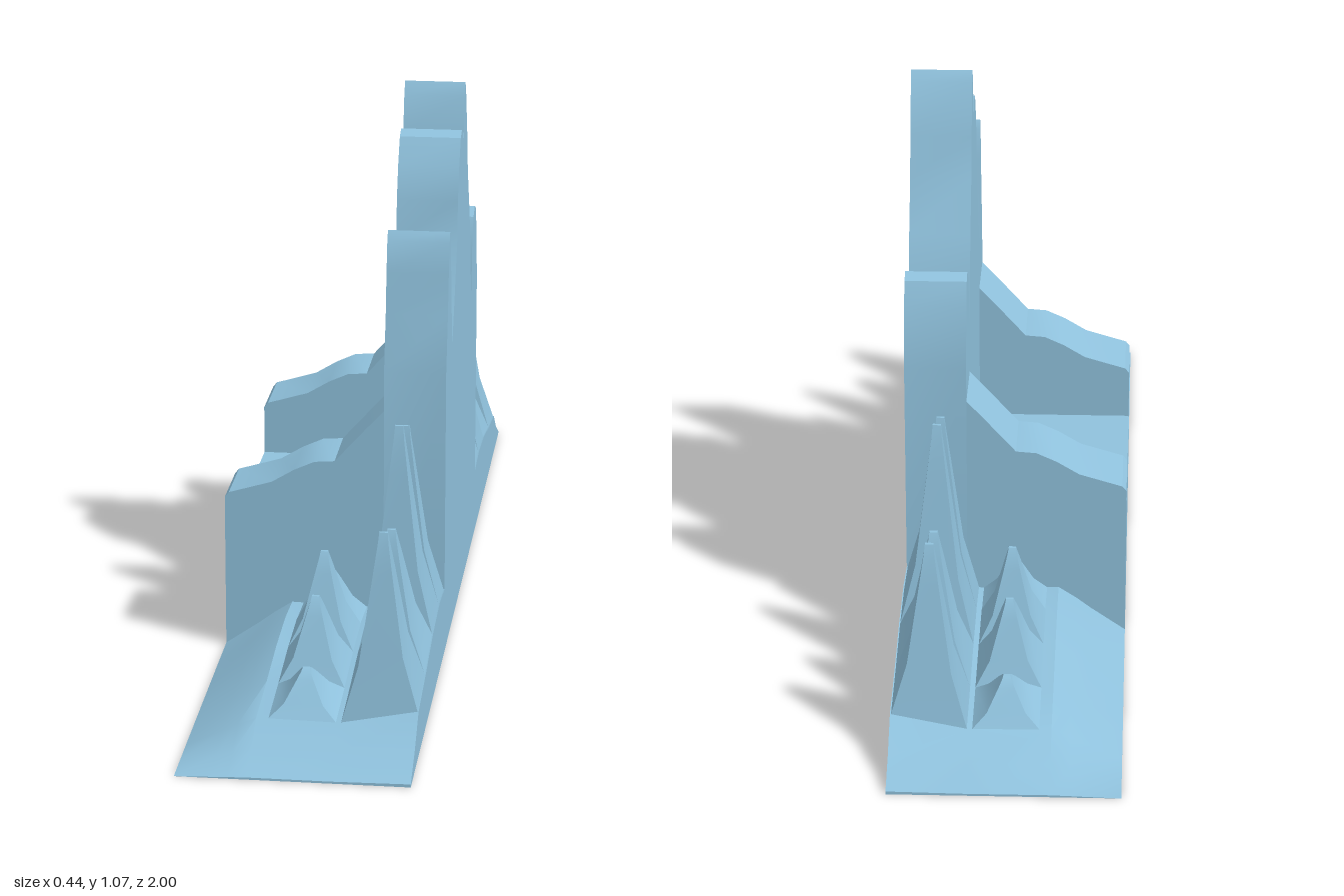
import * as THREE from 'three';
import { toCreasedNormals } from 'three/addons/utils/BufferGeometryUtils.js';

const X = 0.218; // half depth of the whole piece
const material = new THREE.MeshStandardMaterial({ color: 0x8fc1dc });

function addMesh(group, name, geometry) {
  const mesh = new THREE.Mesh(geometry, material);
  mesh.name = name;
  group.add(mesh);
  return mesh;
}

// Skins a list of equal-length rings and closes the ends
function loft(rings, capStart = true) {
  const out = [];
  const tri = (a, b, c) => out.push(...a, ...b, ...c);
  const n = rings[0].length;
  for (let i = 0; i < rings.length - 1; i++) {
    for (let j = 0; j < n; j++) {
      const k = (j + 1) % n;
      const [a, b, c, d] = [rings[i][j], rings[i][k], rings[i + 1][k], rings[i + 1][j]];
      tri(a, b, c);
      tri(a, c, d);
    }
  }
  const first = rings[0], last = rings[rings.length - 1];
  for (let j = 1; j < n - 1; j++) {
    if (capStart) tri(first[0], first[j + 1], first[j]);
    tri(last[0], last[j], last[j + 1]);
  }
  const g = new THREE.BufferGeometry();
  g.setAttribute('position', new THREE.Float32BufferAttribute(out, 3));
  return toCreasedNormals(g, 0.45);
}

function extrude(points, depth) {
  const shape = new THREE.Shape(points.map(([x, y]) => new THREE.Vector2(x, y)));
  const g = new THREE.ExtrudeGeometry(shape, { depth, bevelEnabled: false });
  return toCreasedNormals(g, 0.5);
}

// Linear interpolation through [position, value] pairs
function sample(table, p) {
  for (let i = 1; i < table.length; i++) {
    const [a, va] = table[i - 1], [b, vb] = table[i];
    if (p <= b) return va + (vb - va) * Math.max(0, (p - a) / (b - a));
  }
  return table[table.length - 1][1];
}

// Ground height: a long ridge line times a cross slope
const ridge = [[0.35, 0.135], [0.45, 0.145], [0.58, 0.135], [0.72, 0.11], [0.86, 0.09], [0.93, 0.04], [1, 0.006]];
const slope = [[-X, 0.01], [-0.15, 0.36], [-0.12, 0.53], [-0.085, 0.7], [0.07, 0.67], [X, 1]];
const ground = (x, z) => sample(ridge, Math.abs(z)) * sample(slope, x);

function terrain(side) {
  const rings = ridge.map(([z]) => [
    [-X, 0, side * z], [X, 0, side * z],
    ...slope.map(([x]) => [x, ground(x, z), side * z]).reverse(),
  ]);
  return loft(side > 0 ? rings : rings.reverse());
}

// Four-sided spike with concave flanks, its foot following the ground
function spike(x0, x1, z0, z1, peak) {
  const cx = (x0 + x1) / 2, cz = (z0 + z1) / 2;
  const corners = [[x0, z1], [x1, z1], [x1, z0], [x0, z0]];
  const levels = [[0, 1, 1], [0.3, 0.58, 0.72], [0.78, 0.25, 0.32], [0.94, 0.14, 0.15], [1, 0.11, 0.05]];
  return loft(levels.map(([t, sx, sz]) => corners.map(([x, z]) => [
    cx + (x - cx) * sx,
    THREE.MathUtils.lerp(ground(x, z), peak, t),
    cz + (z - cz) * sz,
  ])), false);
}

export function createModel() {
  const model = new THREE.Group();
  model.name = 'mountainThrone';

  // Backrest slab with a jagged mountain outline (z, y)
  const outline = [
    [0.35, 0], [0.35, 0.58], [0.322, 0.69], [0.31, 0.77], [0.297, 0.83], [0.285, 0.848], [0.274, 0.83],
    [0.26, 0.77], [0.24, 0.67], [0.222, 0.6], [0.19, 0.66], [0.13, 0.785], [0.123, 0.865], [0.1, 0.93],
    [0.07, 0.98], [0.045, 0.99], [0.03, 0.985], [0.015, 0.965], [0.004, 0.975], [-0.013, 1.045],
    [-0.028, 1.07], [-0.043, 1.05], [-0.08, 0.95], [-0.1, 0.87], [-0.15, 0.77], [-0.18, 0.69],
    [-0.203, 0.585], [-0.215, 0.58], [-0.224, 0.67], [-0.25, 0.73], [-0.28, 0.745], [-0.305, 0.735],
    [-0.325, 0.69], [-0.35, 0.57], [-0.35, 0],
  ];
  const back = addMesh(model, 'backrest', extrude(outline, X - 0.097).rotateY(-Math.PI / 2));
  back.position.x = X;

  // Seat block
  const seat = addMesh(model, 'seat', new THREE.BoxGeometry(X + 0.097, 0.21, 0.42));
  seat.position.set((0.097 - X) / 2, 0.105, 0);

  // Armrests rising towards the backrest (x, y)
  const arm = [
    [-X, 0], [0.097, 0], [0.097, 0.5], [0.06, 0.46], [0, 0.393], [-0.04, 0.39],
    [-0.08, 0.372], [-0.125, 0.345], [-0.21, 0.32], [-X, 0.31],
  ];
  for (const [name, z] of [['leftArmrest', -0.35], ['rightArmrest', 0.21]]) {
    addMesh(model, name, extrude(arm, 0.14)).position.z = z;
  }

  // Sloping ground with two rows of spikes on each side
  const cells = [[0.35, 0.455], [0.455, 0.585], [0.585, 0.725], [0.725, 0.86]];
  const rows = [
    { name: 'lowSpike', x0: -0.062, x1: 0.064, peaks: [0.185, 0.27, 0.23, 0.14] },
    { name: 'tallSpike', x0: 0.074, x1: X - 0.002, peaks: [0.49, 0.53, 0.37, 0.415] },
  ];
  for (const side of [-1, 1]) {
    const wing = new THREE.Group();
    wing.name = side < 0 ? 'rearWing' : 'frontWing';
    model.add(wing);
    addMesh(wing, 'ground', terrain(side));
    for (const { name, x0, x1, peaks } of rows) {
      cells.forEach(([a, b], i) => {
        const z0 = Math.min(side * a, side * b), z1 = Math.max(side * a, side * b);
        addMesh(wing, name + (i + 1), spike(x0, x1, z0, z1, peaks[i]));
      });
    }
  }
  return model;
}
